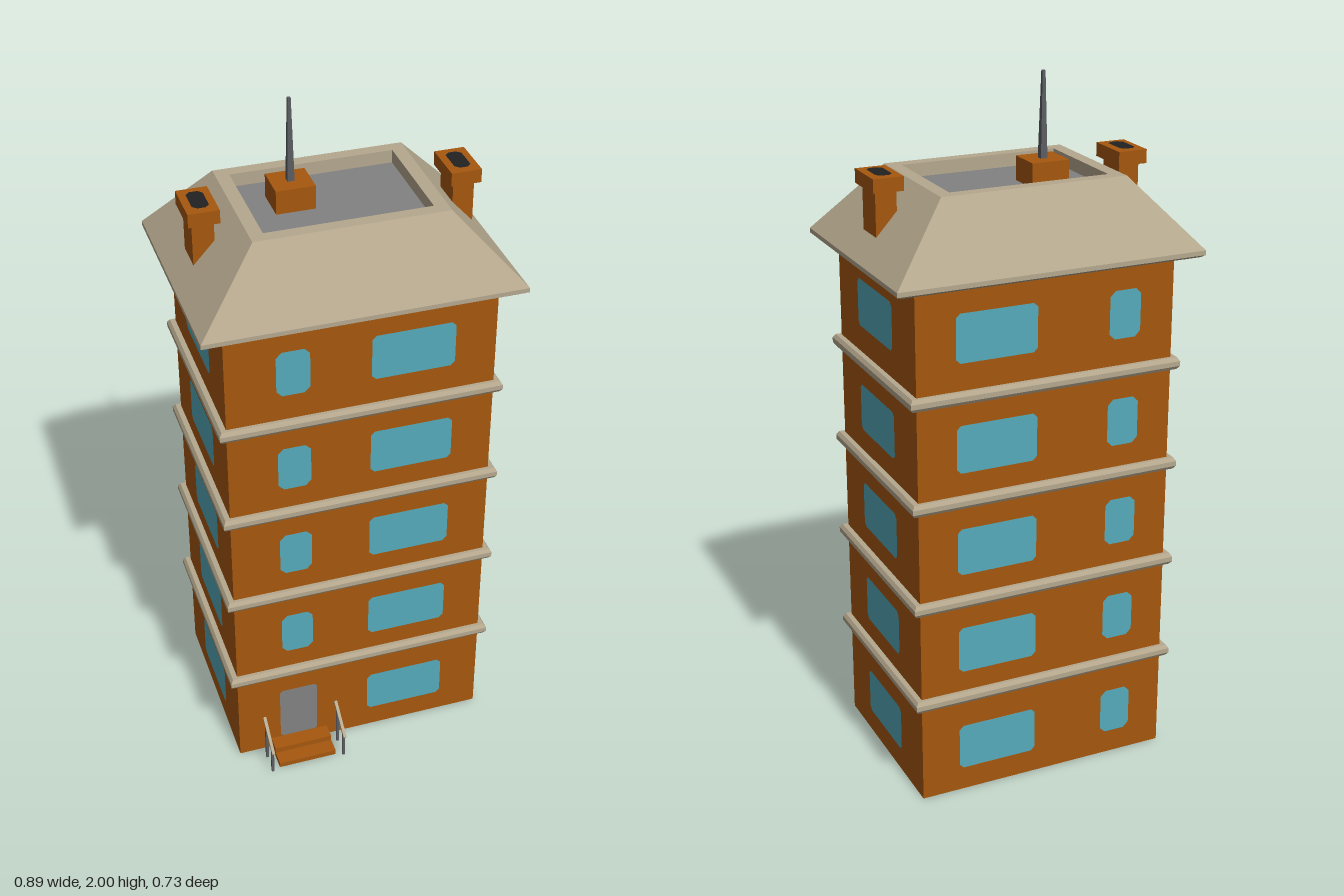
import * as THREE from 'three';

const paint = (name, color) => {
  const m = new THREE.MeshStandardMaterial({ color });
  m.name = name;
  return m;
};

export function createModel() {
  const brick = paint('brick', 0xa5580e);
  const stone = paint('stone', 0xb5a88e);
  const glass = paint('glass', 0x55aabb);
  const grey = paint('grey', 0x828282);
  const metal = paint('metal', 0x5a5c60);
  const soot = paint('soot', 0x222222);

  const group = new THREE.Group();
  const ZC = -0.03; // centre of the tower in z

  const add = (name, geometry, material, x = 0, y = 0, z = 0) => {
    const mesh = new THREE.Mesh(geometry, material);
    mesh.name = name;
    mesh.position.set(x, y, z);
    group.add(mesh);
    return mesh;
  };

  // Box given by its min and max corners
  const box = (name, material, x0, x1, y0, y1, z0, z1) =>
    add(name, new THREE.BoxGeometry(x1 - x0, y1 - y0, z1 - z0), material,
      (x0 + x1) / 2, (y0 + y1) / 2, (z0 + z1) / 2);

  // Joins stacked rectangles [half width, half depth, y] into flat-sided bands
  const loft = (rings) => {
    const pos = [];
    const signs = [[-1, 1], [1, 1], [1, -1], [-1, -1]];
    const corner = ([w, d, y], i) => [signs[i % 4][0] * w, y, signs[i % 4][1] * d];
    for (let r = 0; r < rings.length - 1; r++) {
      for (let i = 0; i < 4; i++) {
        const a = corner(rings[r], i), b = corner(rings[r], i + 1);
        const c = corner(rings[r + 1], i + 1), d = corner(rings[r + 1], i);
        pos.push(...a, ...b, ...c, ...a, ...c, ...d);
      }
    }
    const g = new THREE.BufferGeometry();
    g.setAttribute('position', new THREE.Float32BufferAttribute(pos, 3));
    g.computeVertexNormals();
    return g;
  };

  // Flat panel with clipped corners, facing +z
  const panel = (w, h, c) => {
    const x = w / 2, y = h / 2;
    return new THREE.ShapeGeometry(new THREE.Shape([
      [-x + c, -y], [x - c, -y], [x, -y + c], [x, y - c],
      [x - c, y], [-x + c, y], [-x, y - c], [-x, -y + c],
    ].map(([u, v]) => new THREE.Vector2(u, v))));
  };

  // Walls
  box('walls', brick, -0.38, 0.38, 0, 1.53, -0.31, 0.25);

  // Stone bands between floors
  for (let i = 1; i <= 4; i++) {
    add('floorBand', loft([
      [0.378, 0.278, -0.018], [0.395, 0.29, -0.018], [0.402, 0.297, -0.008],
      [0.402, 0.297, 0.006], [0.395, 0.29, 0.017], [0.378, 0.278, 0.017],
    ]), stone, 0, 0.307 + (i - 1) * 0.301, ZC);
  }

  // Windows on all four sides, and the door
  const wide = panel(0.237, 0.138, 0.012);
  const narrow = panel(0.094, 0.138, 0.016);
  const side = panel(0.253, 0.138, 0.012);
  const OUT = 0.002;
  [0.14, 0.454, 0.757, 1.06, 1.373].forEach((y, floor) => {
    add('frontWindow', wide, glass, 0.144, y, 0.25 + OUT);
    if (floor > 0) add('frontSmallWindow', narrow, glass, -0.193, y, 0.25 + OUT);
    add('backWindow', wide, glass, 0.148, y, -0.31 - OUT).rotation.y = Math.PI;
    add('backSmallWindow', narrow, glass, -0.233, y, -0.31 - OUT).rotation.y = Math.PI;
    for (const s of [-1, 1]) {
      add('sideWindow', side, glass, s * (0.38 + OUT), y, -0.026).rotation.y = s * Math.PI / 2;
    }
  });
  add('door', panel(0.116, 0.188, 0.008), grey, -0.193, 0.131, 0.25 + OUT);

  // Roof: brick soffit, stone slopes with a raised rim, sunken flat top
  add('soffit', loft([[0.375, 0.275, 1.518], [0.437, 0.32, 1.518]]), brick, 0, 0, ZC - 0.003);
  add('roof', loft([
    [0.437, 0.32, 1.518], [0.447, 0.33, 1.525], [0.447, 0.33, 1.538],
    [0.27, 0.2, 1.733], [0.232, 0.164, 1.733], [0.232, 0.164, 1.694],
  ]), stone, 0, 0, ZC - 0.003);
  box('flatRoof', grey, -0.233, 0.233, 1.685, 1.695, -0.198, 0.132);

  // Antenna on its base
  box('antennaBase', brick, -0.155, -0.045, 1.69, 1.763, -0.118, -0.014);
  const mast = new THREE.CylinderGeometry(0.006, 0.014, 0.24, 4).toNonIndexed();
  mast.rotateY(Math.PI / 4);
  mast.computeVertexNormals();
  add('antenna', mast, metal, -0.1, 1.88, -0.067);

  // Chimneys
  for (const s of [-1, 1]) {
    const x = s * 0.361;
    box('chimney', brick, x - 0.03, x + 0.03, 1.58, 1.73, -0.078, 0.015);
    box('chimneyCap', brick, x - 0.043, x + 0.043, 1.724, 1.763, -0.1, 0.034);
    add('chimneyOpening', panel(0.046, 0.09, 0.012), soot, x, 1.765, -0.033).rotation.x = -Math.PI / 2;
  }

  // Entrance steps
  box('lowerStep', brick, -0.281, -0.104, 0, 0.016, 0.24, 0.341);
  box('upperStep', brick, -0.281, -0.104, 0.016, 0.034, 0.24, 0.296);

  // Handrails
  for (const x of [-0.305, -0.081]) {
    box('railPost', metal, x - 0.004, x + 0.004, 0, 0.095, 0.343, 0.351);
    box('railPost', metal, x - 0.004, x + 0.004, 0, 0.134, 0.283, 0.291);
    const rail = add('handrail', new THREE.BoxGeometry(0.009, 0.009, 0.115), stone, x, 0.115, 0.314);
    rail.rotation.x = Math.atan2(0.065, 0.095);
  }

  return group;
}
